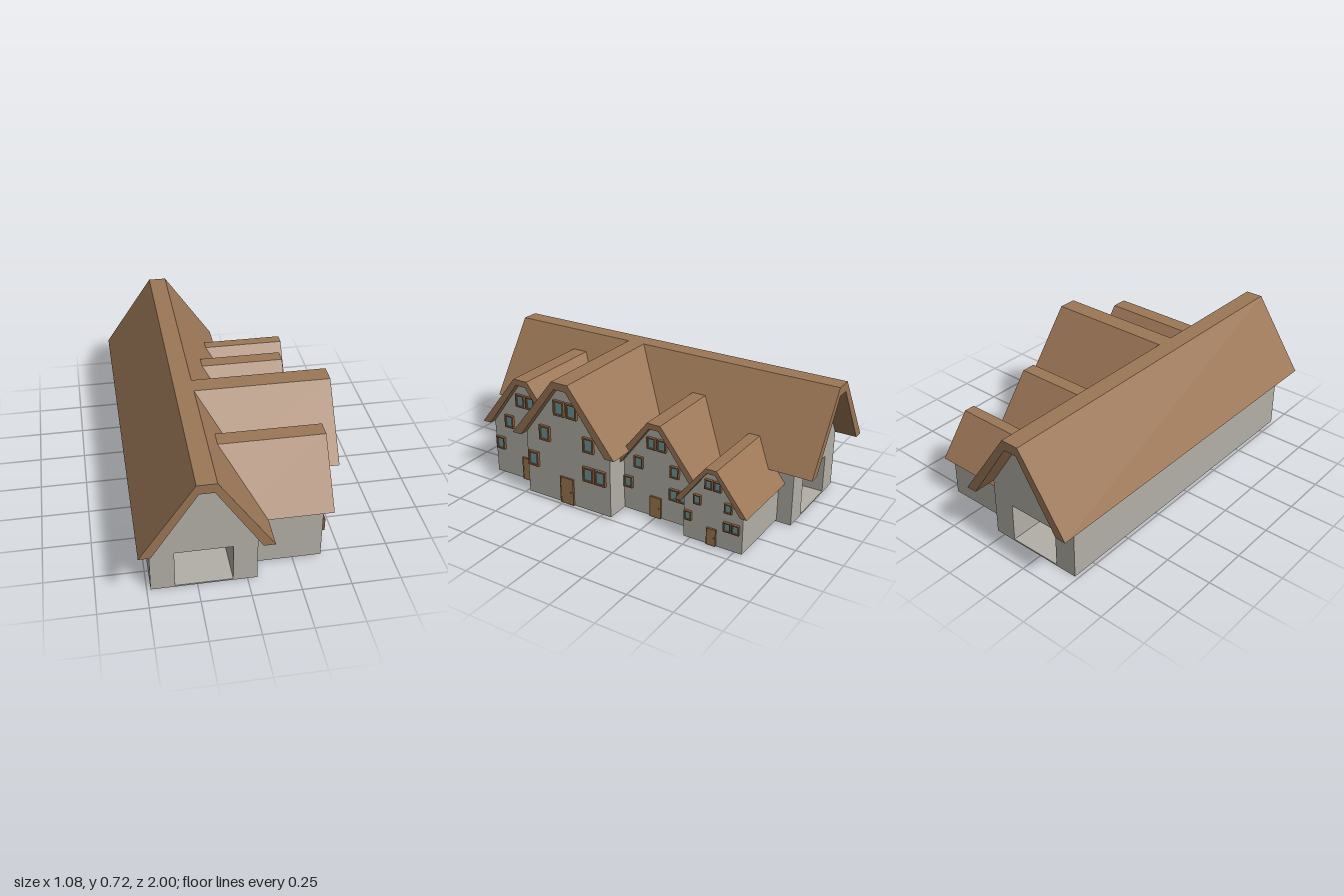
import * as THREE from 'three';

const mat = (color, flatShading = true) => new THREE.MeshStandardMaterial({ color, flatShading });
const MAT = {
  wall: mat(0xb3b0a8), roof: mat(0x9c7757), frame: mat(0x8a5f3e),
  glass: mat(0x6f9a9c), door: mat(0xa07c50), knob: mat(0x4a3a2a, false),
};

function add(parent, name, geometry, material, x = 0, y = 0, z = 0) {
  const mesh = new THREE.Mesh(geometry, material);
  mesh.name = name;
  mesh.position.set(x, y, z);
  parent.add(mesh);
  return mesh;
}

// Closed outline mirrored about x = 0, from right-hand points listed bottom to top
function mirrored(points) {
  const left = points.map(([x, y]) => [-x, y]).reverse();
  return [...points, ...left].map(([x, y]) => new THREE.Vector2(x, y));
}

// Extrude an outline from z0 to z1
function prism(shape, z0, z1) {
  const g = new THREE.ExtrudeGeometry(shape, { depth: z1 - z0, bevelEnabled: false });
  return g.translate(0, 0, z0);
}

const rectPath = (Type, x0, y0, x1, y1) => new Type([
  new THREE.Vector2(x0, y0), new THREE.Vector2(x1, y0),
  new THREE.Vector2(x1, y1), new THREE.Vector2(x0, y1),
]);

// Flat-topped gable wall outline; p = { wall, eave, innerTop, innerFlat }
const gableShape = (p, base) => new THREE.Shape(mirrored([
  [p.wall, base], [p.wall, p.eave], [p.innerFlat, p.innerTop],
]));

// Roof band: outer line up and over, inner line back
function roofShape(p) {
  const outer = mirrored([[p.over, p.eave], [p.flat, p.top]]);
  const inner = mirrored([[p.wall, p.eave], [p.innerFlat, p.innerTop]]).reverse();
  return new THREE.Shape([...outer, ...inner]);
}

// Window: projecting frame with recessed pane
function addWindow(parent, x, y, z) {
  const w = 0.033, h = 0.042, t = 0.009;
  const win = new THREE.Group();
  win.name = 'window';
  win.position.set(x, y, z);
  const frame = rectPath(THREE.Shape, -w, -h, w, h);
  frame.holes.push(rectPath(THREE.Path, -w + t, -h + t, w - t, h - t));
  add(win, 'windowFrame', prism(frame, -0.002, 0.015), MAT.frame);
  add(win, 'windowPane', new THREE.BoxGeometry(2 * (w - t), 2 * (h - t), 0.008), MAT.glass, 0, 0, 0.003);
  parent.add(win);
}

// Door with thin surround and knob
function addDoor(parent, x, z) {
  const door = new THREE.Group();
  door.name = 'door';
  door.position.set(x, 0, z);
  const frame = rectPath(THREE.Shape, -0.043, 0, 0.043, 0.155);
  frame.holes.push(rectPath(THREE.Path, -0.038, 0, 0.038, 0.15));
  add(door, 'doorFrame', prism(frame, -0.002, 0.01), MAT.frame);
  add(door, 'doorPanel', new THREE.BoxGeometry(0.076, 0.15, 0.01), MAT.door, 0, 0.075, 0.002);
  add(door, 'doorKnob', new THREE.SphereGeometry(0.004, 8, 6), MAT.knob, 0.027, 0.075, 0.01);
  parent.add(door);
}

const HALL = { wall: 0.265, eave: 0.32, innerTop: 0.67, innerFlat: 0.036, over: 0.323, flat: 0.048, top: 0.72 };
const WING = { wall: 0.268, eave: 0.36, innerTop: 0.67, innerFlat: 0.036, over: 0.325, flat: 0.05, top: 0.71 };

// Window centres on a full-size wing front
const WINDOWS = [
  [-0.04, 0.55], [0.04, 0.55],
  [-0.14, 0.385], [0.14, 0.385],
  [-0.223, 0.215], [0.135, 0.215], [0.21, 0.215],
];

// Side wings: size, centre z, wall front x, roof front x, ridge back x
const WINGS = [
  { size: 0.866, z: 0.548, front: 0.395, roofFront: 0.435, back: -0.105 },
  { size: 1, z: 0.206, front: 0.49, roofFront: 0.537, back: -0.17 },
  { size: 0.77, z: -0.264, front: 0.36, roofFront: 0.397, back: -0.056 },
  { size: 0.613, z: -0.635, front: 0.44, roofFront: 0.476, back: 0.02 },
];

function makeWing({ size, z, front, roofFront, back }) {
  const wing = new THREE.Group();
  wing.name = 'gabledWing';
  // Local z points out along +x
  wing.rotation.y = Math.PI / 2;
  wing.position.set(0, 0.01, z);
  wing.scale.set(size, size, 1);
  add(wing, 'wingWalls', prism(gableShape(WING, 0), 0.02, front), MAT.wall);
  add(wing, 'wingRoof', prism(roofShape(WING), back, roofFront), MAT.roof);
  for (const [x, y] of WINDOWS) {
    // The largest wing swallows the right-hand windows of its shorter neighbour
    if (z > 0.5 && x > 0.1) continue;
    addWindow(wing, x, y, front);
  }
  addDoor(wing, -0.008, front);
  return wing;
}

export function createModel() {
  const model = new THREE.Group();
  model.name = 'farmhouse';

  // Long hall with a passage running right through it
  const hall = new THREE.Group();
  hall.name = 'mainHall';
  hall.position.x = -0.216;
  const gable = gableShape(HALL, 0);
  gable.holes.push(rectPath(THREE.Path, -0.144, 0.008, 0.144, 0.222));
  add(hall, 'hallWalls', prism(gable, -0.88, 0.88), MAT.wall);
  add(hall, 'hallRoof', prism(roofShape(HALL), -1, 1), MAT.roof);
  model.add(hall);

  for (const w of WINGS) model.add(makeWing(w));
  return model;
}
